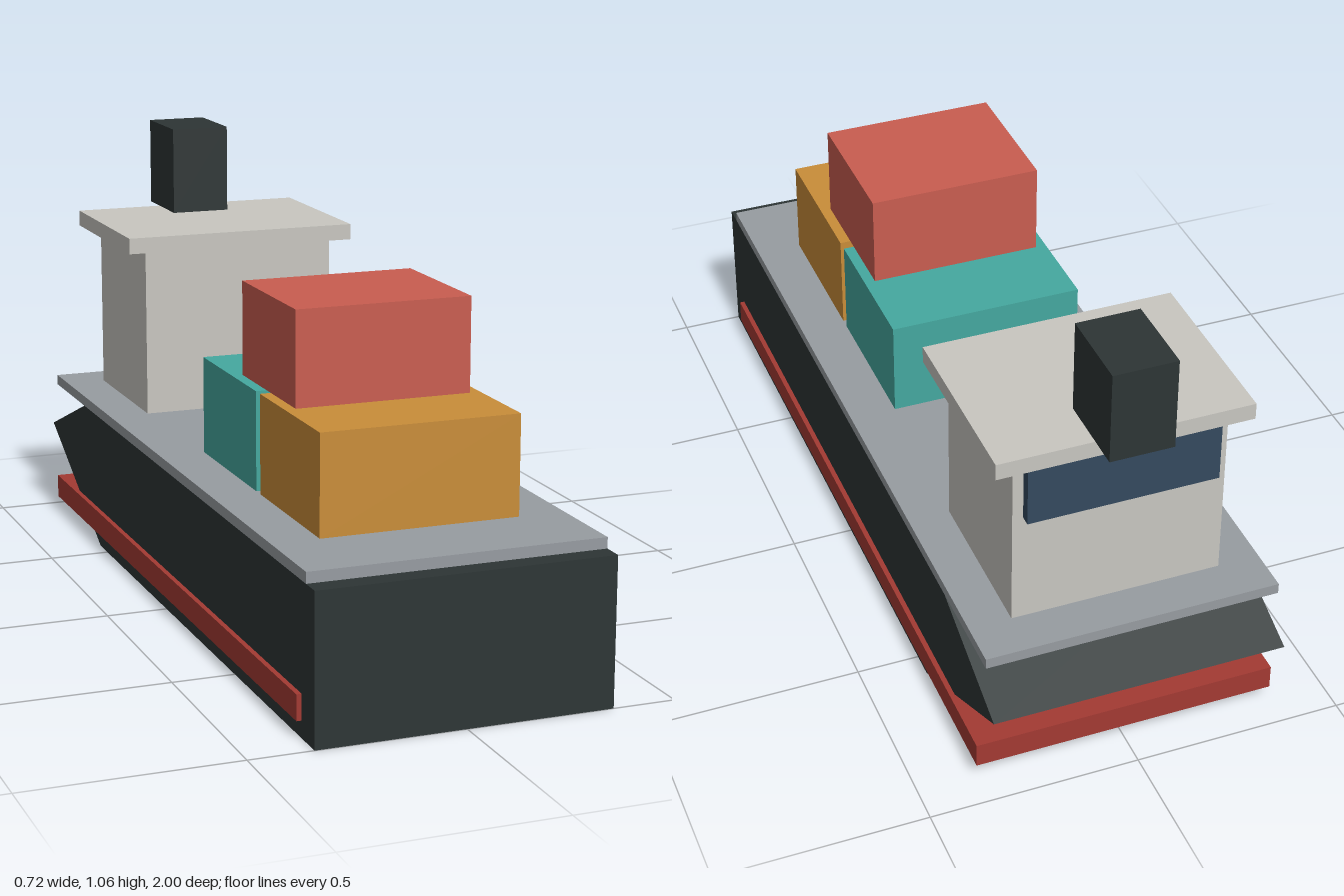
import * as THREE from 'three';

const mat = (name, color) => {
  const m = new THREE.MeshStandardMaterial({ color });
  m.name = name;
  return m;
};

export function createModel() {
  const ship = new THREE.Group();
  ship.name = 'cargoShip';

  const charcoal = mat('charcoal', 0x2d3535);
  const deckGrey = mat('deckGrey', 0x979ca1);
  const keelRed = mat('keelRed', 0xa33a33);
  const cream = mat('cream', 0xc8c6c0);
  const windowBlue = mat('windowBlue', 0x34495e);
  const orange = mat('orange', 0xc98d39);
  const teal = mat('teal', 0x45a89f);
  const coral = mat('coral', 0xc95d50);

  // Box centred on x, given its half width and its y and z ranges
  const block = (name, material, halfW, y0, y1, z0, z1) => {
    const mesh = new THREE.Mesh(new THREE.BoxGeometry(2 * halfW, y1 - y0, z1 - z0), material);
    mesh.position.set(0, (y0 + y1) / 2, (z0 + z1) / 2);
    mesh.name = name;
    ship.add(mesh);
  };

  // Hull: side profile (z, y) extruded across the beam
  const profile = new THREE.Shape(
    [[1, 0], [1, 0.35], [-0.69, 0.35], [-1, 0.23], [-0.56, 0]].map(([z, y]) => new THREE.Vector2(z, y))
  );
  const hullGeo = new THREE.ExtrudeGeometry(profile, { depth: 0.7, bevelEnabled: false });
  hullGeo.translate(0, 0, -0.35).rotateY(-Math.PI / 2);
  const hull = new THREE.Mesh(hullGeo, charcoal);
  hull.name = 'hull';
  ship.add(hull);

  block('waterlineBand', keelRed, 0.362, 0.04, 0.1, -0.925, 0.925);
  block('deck', deckGrey, 0.35, 0.35, 0.376, -0.95, 0.95);

  // Bridge house
  block('cabin', cream, 0.25, 0.376, 0.8, -0.845, -0.45);
  block('cabinRoof', cream, 0.3, 0.8, 0.84, -0.875, -0.425);
  block('bridgeWindow', windowBlue, 0.225, 0.655, 0.8, -0.87, -0.845);
  block('funnel', charcoal, 0.075, 0.84, 1.063, -0.95, -0.75);

  // Stacked containers
  block('frontContainer', orange, 0.238, 0.376, 0.613, 0.365, 0.74);
  block('rearContainer', teal, 0.238, 0.376, 0.613, -0.035, 0.338);
  block('topContainer', coral, 0.212, 0.613, 0.838, 0.175, 0.525);

  return ship;
}
